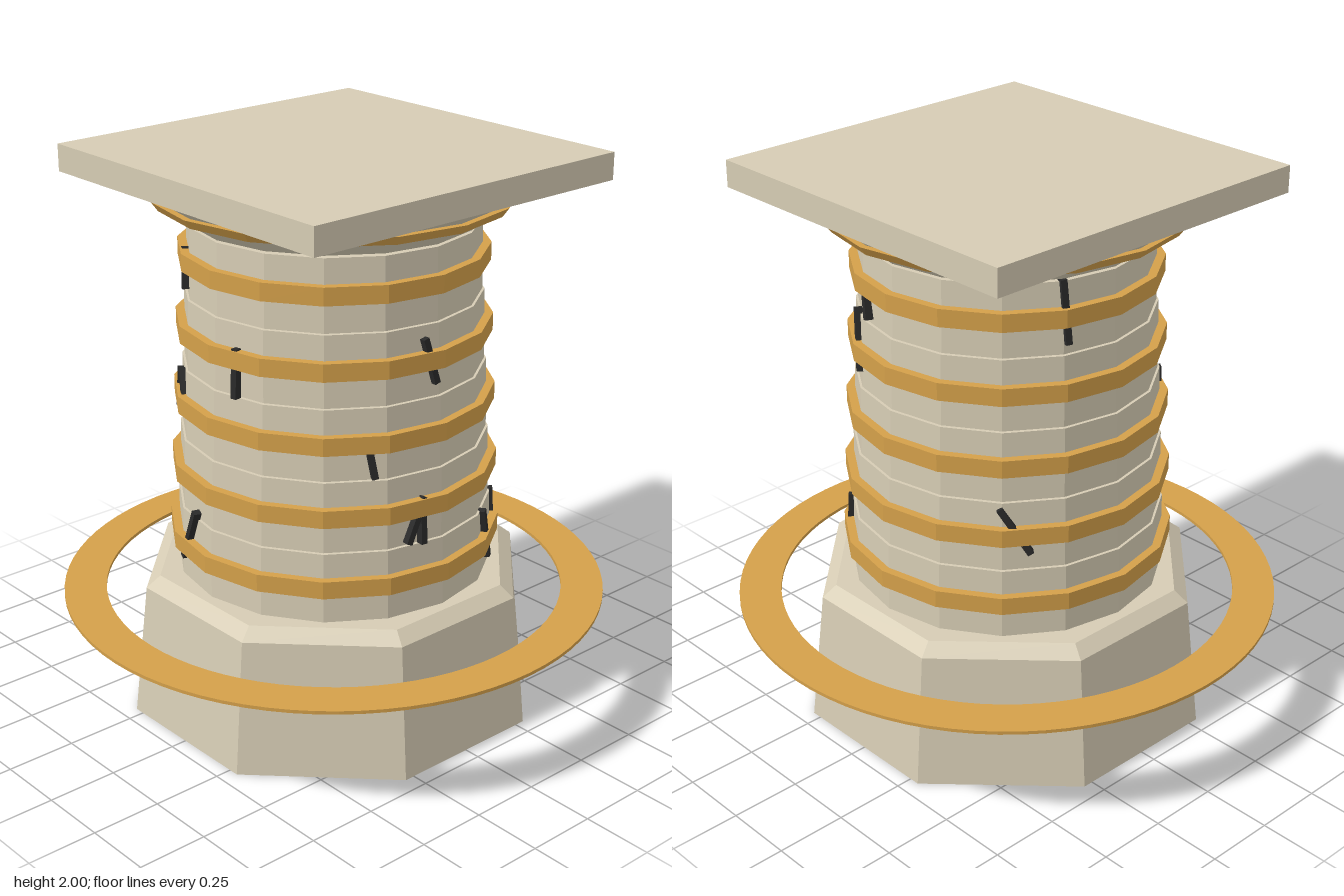
import * as THREE from 'three';

const stone = new THREE.MeshStandardMaterial({ name: 'stone', color: 0xd6ccb4 });
const gold = new THREE.MeshStandardMaterial({ name: 'gold', color: 0xd4a04a });
const dark = new THREE.MeshStandardMaterial({ name: 'crackDark', color: 0x2a2a2a });
for (const m of [stone, gold, dark]) m.flatShading = true;

export function createModel() {
  const model = new THREE.Group();
  model.name = 'column';

  const add = (name, geometry, material) => {
    const mesh = new THREE.Mesh(geometry, material);
    mesh.name = name;
    model.add(mesh);
    return mesh;
  };
  // Faceted frustum between two heights
  const frustum = (name, y0, y1, r0, r1, sides, material, turn = 0) => {
    const g = new THREE.CylinderGeometry(r1, r0, y1 - y0, sides);
    g.rotateY(turn);
    g.translate(0, (y0 + y1) / 2, 0);
    return add(name, g, material);
  };

  // Octagonal foot with a bevelled top, flats facing the axes
  const k = 1 / Math.cos(Math.PI / 8);
  frustum('base', 0, 0.48, 0.692 * k, 0.642 * k, 8, stone, Math.PI / 8);
  frustum('baseBevel', 0.48, 0.52, 0.642 * k, 0.595 * k, 8, stone, Math.PI / 8);

  // Stacked drums, each with a gold band
  for (let i = 0; i < 5; i++) {
    const y = 0.52 + i * 0.251;
    const r = 0.559 - i * 0.013;
    frustum('drum', y, y + 0.248, r, r - 0.006, 16, stone);
    frustum('drumBand', y + 0.1, y + 0.162, r + 0.026, r + 0.026, 16, gold);
  }

  // Flared capital, its band, and the square slab
  frustum('capital', 1.78, 1.905, 0.5, 0.645, 16, stone);
  frustum('capitalBand', 1.838, 1.87, 0.605, 0.628, 16, gold);
  const slab = add('topSlab', new THREE.BoxGeometry(1.31, 0.095, 1.31), stone);
  slab.position.y = 1.9525;

  // Thin flat ring floating around the base
  const disc = new THREE.Shape().absarc(0, 0, 0.97, 0, Math.PI * 2);
  disc.holes.push(new THREE.Path().absarc(0, 0, 0.82, 0, Math.PI * 2, true));
  const ring = new THREE.ExtrudeGeometry(disc, { depth: 0.012, bevelEnabled: false, curveSegments: 40 });
  ring.rotateX(-Math.PI / 2);
  ring.translate(0, 0.412, 0);
  add('floatingRing', ring, gold);

  // Cracks: start angle, end angle (degrees from front), top and bottom heights
  const cracks = [
    [-7, -2, 1.48, 1.32], [-30, -27, 1.18, 1.03], [-8, -15, 0.935, 0.78],
    [-9, -9, 0.92, 0.77], [27, 32, 0.77, 0.575], [48, 48, 0.77, 0.61],
    [61, 67, 1.54, 1.33], [71, 74, 1.64, 1.54], [157, 159, 1.78, 1.56],
    [134, 145, 1.0, 0.835], [-120, -117, 1.69, 1.55], [-79, -79, 1.44, 1.27],
    [-127, -127, 1.24, 1.1], [-120, -112, 1.26, 1.13], [-100, -109, 0.8, 0.6],
  ];
  const onShaft = (deg, y) => {
    const a = THREE.MathUtils.degToRad(deg);
    const r = 0.557 - 0.052 * (y - 0.65);
    return new THREE.Vector3(r * Math.sin(a), y, r * Math.cos(a));
  };
  for (const [a0, a1, y0, y1] of cracks) {
    const top = onShaft(a0, y0);
    const bottom = onShaft(a1, y1);
    const up = top.clone().sub(bottom);
    const length = up.length();
    up.normalize();
    const mid = top.clone().add(bottom).multiplyScalar(0.5);
    const side = up.clone().cross(new THREE.Vector3(mid.x, 0, mid.z)).normalize();
    const out = side.clone().cross(up);
    const crack = add('crack', new THREE.BoxGeometry(0.022, length, 0.028), dark);
    crack.quaternion.setFromRotationMatrix(new THREE.Matrix4().makeBasis(side, up, out));
    crack.position.copy(mid);
  }
  return model;
}
